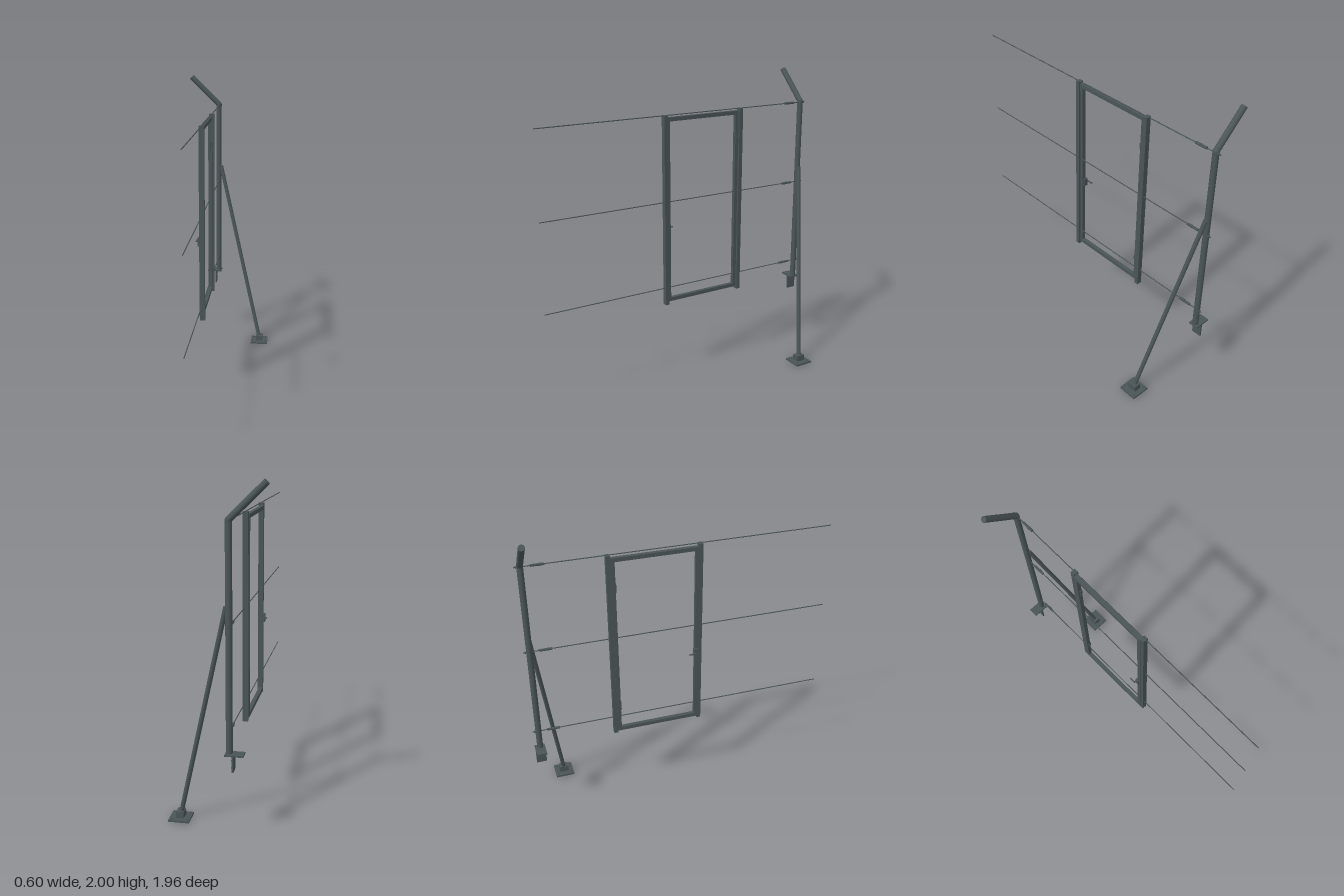
import * as THREE from 'three';

export function createModel() {
  const model = new THREE.Group();
  model.name = 'wireFenceWithGate';
  const steel = new THREE.MeshStandardMaterial({ color: 0x4a5558 });
  steel.name = 'darkSteel';

  const add = (name, geometry, x = 0, y = 0, z = 0) => {
    const mesh = new THREE.Mesh(geometry, steel);
    mesh.name = name;
    mesh.position.set(x, y, z);
    model.add(mesh);
    return mesh;
  };
  // box given by its min and max along each axis
  const box = (name, x0, x1, y0, y1, z0, z1) =>
    add(name, new THREE.BoxGeometry(x1 - x0, y1 - y0, z1 - z0), (x0 + x1) / 2, (y0 + y1) / 2, (z0 + z1) / 2);
  // round bar between two points
  const bar = (name, a, b, radius, sides = 16) => {
    const from = new THREE.Vector3(...a), to = new THREE.Vector3(...b);
    const dir = to.clone().sub(from);
    const mesh = add(name, new THREE.CylinderGeometry(radius, radius, dir.length(), sides));
    mesh.position.copy(from).add(to).multiplyScalar(0.5);
    mesh.quaternion.setFromUnitVectors(new THREE.Vector3(0, 1, 0), dir.normalize());
    return mesh;
  };

  const postX = -0.09, postZ = -0.942, wireX = -0.087;

  // End post with its outward-leaning top arm
  bar('post', [postX, 0.515, postZ], [postX, 1.79, postZ], 0.019, 20);
  add('postElbow', new THREE.SphereGeometry(0.019, 20, 12), postX, 1.79, postZ);
  bar('topArm', [postX, 1.79, postZ], [-0.289, 1.985, postZ], 0.019, 20);

  // Post bracket: flat plate and hanging plate with bolts
  box('postPlate', -0.173, -0.068, 0.508, 0.518, -0.975, -0.911);
  box('wallPlate', -0.117, -0.107, 0.415, 0.508, -0.975, -0.911);
  for (const y of [0.44, 0.48])
    for (const z of [-0.96, -0.926]) bar('plateBolt', [-0.107, y, z], [-0.102, y, z], 0.004, 6);

  // Diagonal brace standing on a foot
  bar('brace', [-0.074, 1.335, -0.94], [0.239, 0.035, -0.76], 0.0135);
  box('footPlate', 0.178, 0.302, 0.006, 0.018, -0.822, -0.698);
  box('footSocket', 0.216, 0.262, 0.018, 0.058, -0.79, -0.73);
  for (const dx of [-0.045, 0.045])
    for (const dz of [-0.045, 0.045])
      bar('footBolt', [0.24 + dx, 0, -0.76 + dz], [0.24 + dx, 0.023, -0.76 + dz], 0.005, 6);

  // Tension wires, each with a turnbuckle and a nut behind the post
  for (const y of [1.783, 1.226, 0.638]) {
    bar('wire', [wireX, y, -0.978], [wireX, y, 0.98], 0.0032, 8);
    bar('turnbuckle', [wireX, y, -0.885], [wireX, y, -0.805], 0.008, 8);
    bar('turnbuckleNut', [wireX, y, -0.845], [wireX, y, -0.825], 0.0095, 6);
    bar('wireNut', [wireX, y, -0.968], [wireX, y, -0.958], 0.008, 6);
  }

  // Gate posts
  box('gatePost', -0.106, -0.073, 0.52, 1.783, 0.11, 0.137);
  box('gatePost', -0.106, -0.073, 0.52, 1.783, -0.456, -0.429);

  // Gate leaf frame
  box('latchStile', -0.11, -0.085, 0.537, 1.768, 0.09, 0.113);
  box('hingeStile', -0.11, -0.085, 0.537, 1.768, -0.432, -0.406);
  box('topRail', -0.11, -0.085, 1.743, 1.768, -0.406, 0.09);
  box('bottomRail', -0.11, -0.085, 0.537, 0.562, -0.406, 0.09);

  // Hinges
  for (const y of [1.57, 0.722]) {
    box('hingeLeaf', -0.085, -0.081, y - 0.02, y + 0.02, -0.43, -0.404);
    bar('hingePin', [-0.097, y - 0.03, -0.404], [-0.097, y + 0.03, -0.404], 0.005, 8);
  }

  // Lock case and lever handle
  box('lockCase', -0.122, -0.096, 1.012, 1.068, 0.083, 0.106);
  bar('leverNeck', [-0.122, 1.04, 0.085], [-0.134, 1.04, 0.085], 0.005, 8);
  bar('lever', [-0.131, 1.04, 0.09], [-0.131, 1.04, 0.048], 0.005, 8);

  return model;
}
